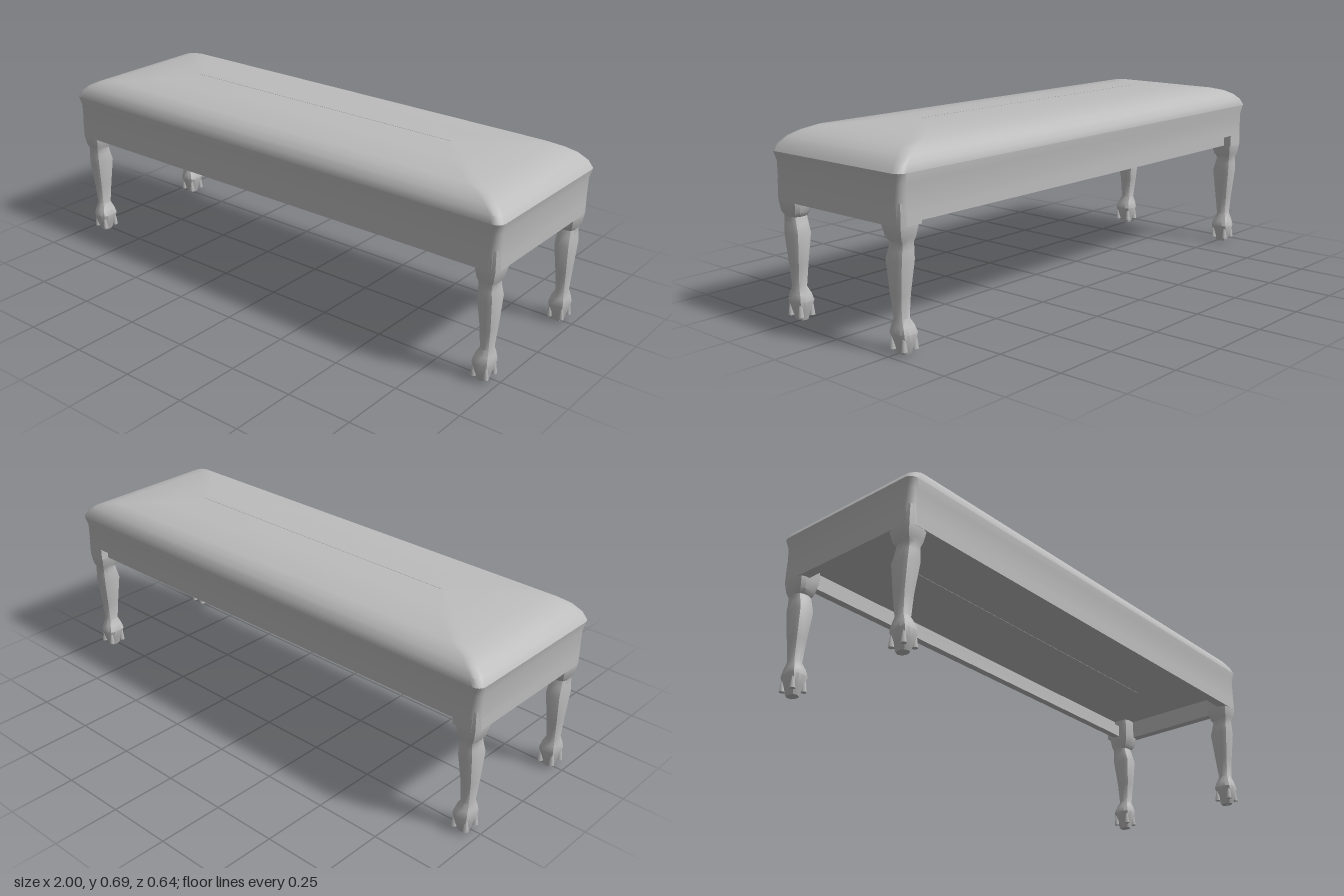
import * as THREE from 'three';
import { toCreasedNormals } from 'three/addons/utils/BufferGeometryUtils.js';

const grey = new THREE.MeshStandardMaterial({ color: 0xbcbcbc });
grey.name = 'warm grey';

// Rounded rectangle in plan, as [x, z] points
function roundedRect(hx, hz, radius, steps = 4) {
  const r = Math.min(radius, hx, hz);
  const points = [];
  [[1, -1], [1, 1], [-1, 1], [-1, -1]].forEach(([sx, sz], corner) => {
    for (let i = 0; i <= steps; i++) {
      const a = (corner - 1 + i / steps) * Math.PI / 2;
      points.push([sx * (hx - r) + r * Math.cos(a), sz * (hz - r) + r * Math.sin(a)]);
    }
  });
  return points;
}

// Skin through plan sections: { y, hx, hz, r, x, z }
function loft(sections, crease, steps = 4) {
  const rings = sections.map(({ y, hx, hz, r, x = 0, z = 0 }) =>
    roundedRect(hx, hz, r, steps).map(([px, pz]) => [px + x, y, pz + z]));
  const n = rings[0].length;
  const index = [];
  for (let k = 0; k < rings.length - 1; k++) {
    for (let i = 0; i < n; i++) {
      const j = (i + 1) % n;
      const a = k * n + i, b = a + n, c = k * n + j, d = c + n;
      index.push(a, b, c, c, b, d);
    }
  }
  const geometry = new THREE.BufferGeometry();
  geometry.setAttribute('position', new THREE.Float32BufferAttribute(rings.flat(2), 3));
  geometry.setIndex(index);
  return toCreasedNormals(geometry, crease);
}

function addMesh(parent, name, geometry) {
  const mesh = new THREE.Mesh(geometry, grey);
  mesh.name = name;
  parent.add(mesh);
  return mesh;
}

// Padded seat, including its recessed underside panel
function seatGeometry() {
  const profile = [
    [0.70, 0.001, 0.50], [0.955, 0.272, 0.50], [0.955, 0.272, 0.47],
    [0.99, 0.312, 0.47], [0.992, 0.312, 0.56], [1.0, 0.32, 0.595],
    [0.985, 0.313, 0.62], [0.955, 0.298, 0.643], [0.92, 0.275, 0.66],
    [0.86, 0.25, 0.674], [0.72, 0.13, 0.685], [0.6, 0.001, 0.69],
  ];
  return loft(profile.map(([hx, hz, y]) => ({ y, hx, hz, r: 0.03 })), 0.55);
}

// Open frame under the seat, set back along the rear
function skirtGeometry() {
  const outline = roundedRect(0.99, 0.312, 0.03);
  outline.push([-0.9, -0.312], [-0.9, -0.28], [0.9, -0.28], [0.9, -0.312]);
  const shape = new THREE.Shape(outline.map(([x, z]) => new THREE.Vector2(x, z)));
  const hole = [[-0.955, -0.25], [-0.955, 0.275], [0.955, 0.275], [0.955, -0.25]];
  shape.holes.push(new THREE.Path(hole.map(([x, z]) => new THREE.Vector2(x, z))));
  const geometry = new THREE.ExtrudeGeometry(shape, { depth: 0.05, bevelEnabled: false });
  geometry.rotateX(Math.PI / 2);
  geometry.translate(0, 0.475, 0);
  return geometry;
}

// Cabriole leg with a bulbous foot; z grows toward the outside
function legGeometry(sx, sz) {
  const profile = [ // y, centre x, centre z, half x, half z
    [0.0, 0.94, 0.26, 0.002, 0.002], [0.0, 0.94, 0.26, 0.018, 0.024],
    [0.03, 0.94, 0.262, 0.026, 0.034], [0.07, 0.94, 0.26, 0.036, 0.041],
    [0.095, 0.942, 0.259, 0.031, 0.035], [0.12, 0.946, 0.258, 0.023, 0.026],
    [0.20, 0.947, 0.256, 0.027, 0.033], [0.31, 0.945, 0.257, 0.034, 0.044],
    [0.345, 0.944, 0.262, 0.032, 0.039], [0.37, 0.944, 0.265, 0.031, 0.036],
    [0.385, 0.945, 0.262, 0.038, 0.044], [0.425, 0.945, 0.26, 0.045, 0.051],
    [0.50, 0.945, 0.26, 0.044, 0.051],
  ];
  return loft(profile.map(([y, x, z, hx, hz]) =>
    ({ y, hx, hz, r: 0.022, x: sx * x, z: sz * z })), 0.6, 2);
}

export function createModel() {
  const bench = new THREE.Group();
  bench.name = 'bench';
  addMesh(bench, 'paddedSeat', seatGeometry());
  addMesh(bench, 'skirt', skirtGeometry());

  // Four mirrored legs
  for (const sz of [1, -1]) {
    for (const sx of [1, -1]) {
      const name = (sz > 0 ? 'front' : 'back') + (sx > 0 ? 'Left' : 'Right') + 'Leg';
      const leg = new THREE.Group();
      leg.name = name;
      addMesh(leg, name + 'Post', legGeometry(sx, sz));

      // Claw toes gripping the foot
      for (let i = 0; i < 4; i++) {
        const a = (i + 0.5) * Math.PI / 2;
        const toe = addMesh(leg, 'toe', new THREE.ConeGeometry(0.011, 0.08, 5));
        toe.position.set(sx * 0.94 + Math.cos(a) * 0.034, 0.055, sz * 0.26 + Math.sin(a) * 0.038);
      }
      bench.add(leg);
    }
  }
  return bench;
}
